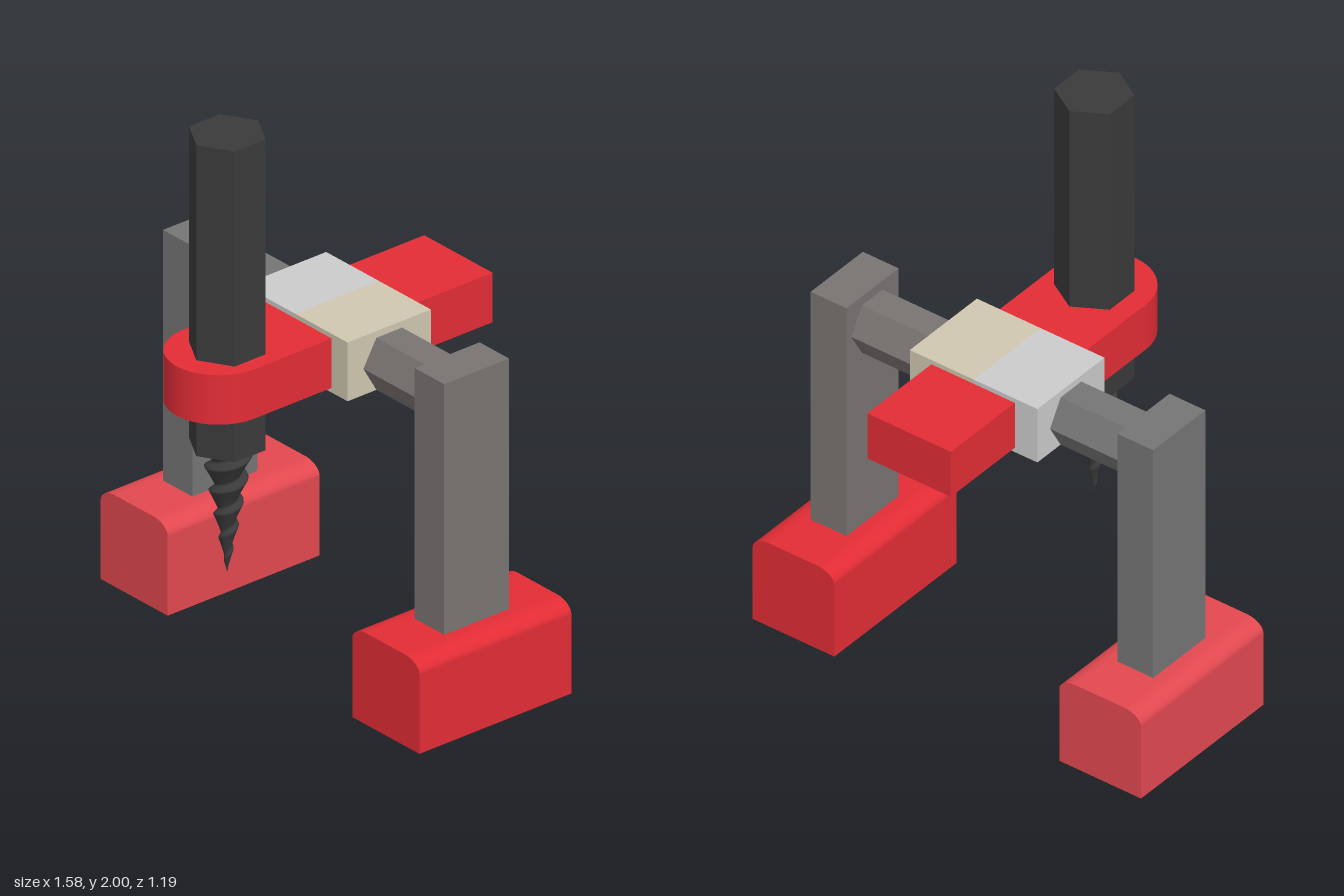
import * as THREE from 'three';

const paint = (color, flatShading = false) => new THREE.MeshStandardMaterial({ color, flatShading });
const red = paint(0xe22c35), paleRed = paint(0xe2484f);
const steel = paint(0x787472), greySteel = paint(0x757575);
const beige = paint(0xcfc7b0), grey = paint(0xcccccc);
const dark = paint(0x3a3a3a, true);

function add(parent, name, geometry, material, x = 0, y = 0, z = 0) {
  const mesh = new THREE.Mesh(geometry, material);
  mesh.name = name;
  mesh.position.set(x, y, z);
  parent.add(mesh);
  return mesh;
}

// Block with rounded upper long edges, extruded along z
function footGeometry(w, h, d) {
  const a = w / 2, rx = 0.07, ry = 0.045;
  const s = new THREE.Shape();
  s.moveTo(-a, 0);
  s.lineTo(a, 0);
  s.lineTo(a, h - ry);
  s.absellipse(a - rx, h - ry, rx, ry, 0, Math.PI / 2);
  s.lineTo(-a + rx, h);
  s.absellipse(-a + rx, h - ry, rx, ry, Math.PI / 2, Math.PI);
  s.closePath();
  return new THREE.ExtrudeGeometry(s, { depth: d, bevelEnabled: false, curveSegments: 10 });
}

// Flat arm with a half-round front end
function armGeometry(r, z0, zc, h) {
  const s = new THREE.Shape();
  s.moveTo(-r, -z0);
  s.lineTo(-r, -zc);
  s.absarc(0, -zc, r, Math.PI, Math.PI * 2, false);
  s.lineTo(r, -z0);
  s.closePath();
  const g = new THREE.ExtrudeGeometry(s, { depth: h, bevelEnabled: false, curveSegments: 24 });
  return g.rotateX(-Math.PI / 2);
}

// Tapered screw: a cylinder whose radius follows a helical sawtooth
function screwGeometry(length, radius) {
  const g = new THREE.CylinderGeometry(1, 1, length, 32, 96);
  const p = g.attributes.position;
  const turns = 5.5;
  for (let i = 0; i < p.count; i++) {
    const x = p.getX(i), y = p.getY(i), z = p.getZ(i);
    const t = y / length + 0.5;
    const phase = t * turns + Math.atan2(z, x) / (2 * Math.PI) + 2;
    const f = phase - Math.floor(phase);
    const tooth = f < 0.8 ? f / 0.8 : (1 - f) / 0.2;
    const r = radius * Math.pow(t, 0.85) * (0.62 + 0.38 * tooth);
    p.setXYZ(i, x * r, y, z * r);
  }
  g.computeVertexNormals();
  return g;
}

export function createModel() {
  const model = new THREE.Group();
  model.name = 'drillRig';

  // Two-tone central body
  add(model, 'bodyLeft', new THREE.BoxGeometry(0.26, 0.214, 0.352), beige, 0.13, 1.127, -0.086);
  add(model, 'bodyRight', new THREE.BoxGeometry(0.26, 0.214, 0.352), grey, -0.13, 1.127, -0.086);

  // Legs, feet and hexagonal axles on both sides
  for (const side of [1, -1]) {
    const leg = new THREE.Group();
    leg.name = side > 0 ? 'leftLeg' : 'rightLeg';
    const metal = side > 0 ? steel : greySteel;
    const x = side > 0 ? 0.623 : -0.627;
    add(leg, 'foot', footGeometry(0.333, 0.333, 0.642), side > 0 ? red : paleRed, x, 0, -0.405);
    add(leg, 'post', new THREE.BoxGeometry(0.146, 0.92, 0.274), metal, x, 0.785, -0.084);
    const axle = new THREE.CylinderGeometry(0.109, 0.109, 0.36, 6);
    axle.rotateZ(Math.PI / 2);
    const axleMetal = metal.clone();
    axleMetal.flatShading = true;
    add(leg, 'axle', axle, axleMetal, side * 0.4, 1.115, -0.086);
    model.add(leg);
  }

  // Red boom: round-ended arm in front, square counterweight behind
  add(model, 'frontArm', armGeometry(0.178, 0, 0.416, 0.18), red, 0.003, 1.037, 0);
  add(model, 'rearBoom', new THREE.BoxGeometry(0.34, 0.18, 0.45), red, 0.002, 1.127, -0.373);

  // Hexagonal drill shaft and screw bit
  add(model, 'drillShaft', new THREE.CylinderGeometry(0.131, 0.131, 1.132, 6), dark, 0.013, 1.434, 0.388);
  add(model, 'drillBit', screwGeometry(0.48, 0.092), paint(0x3a3a3a), 0.015, 0.645, 0.39);

  return model;
}
